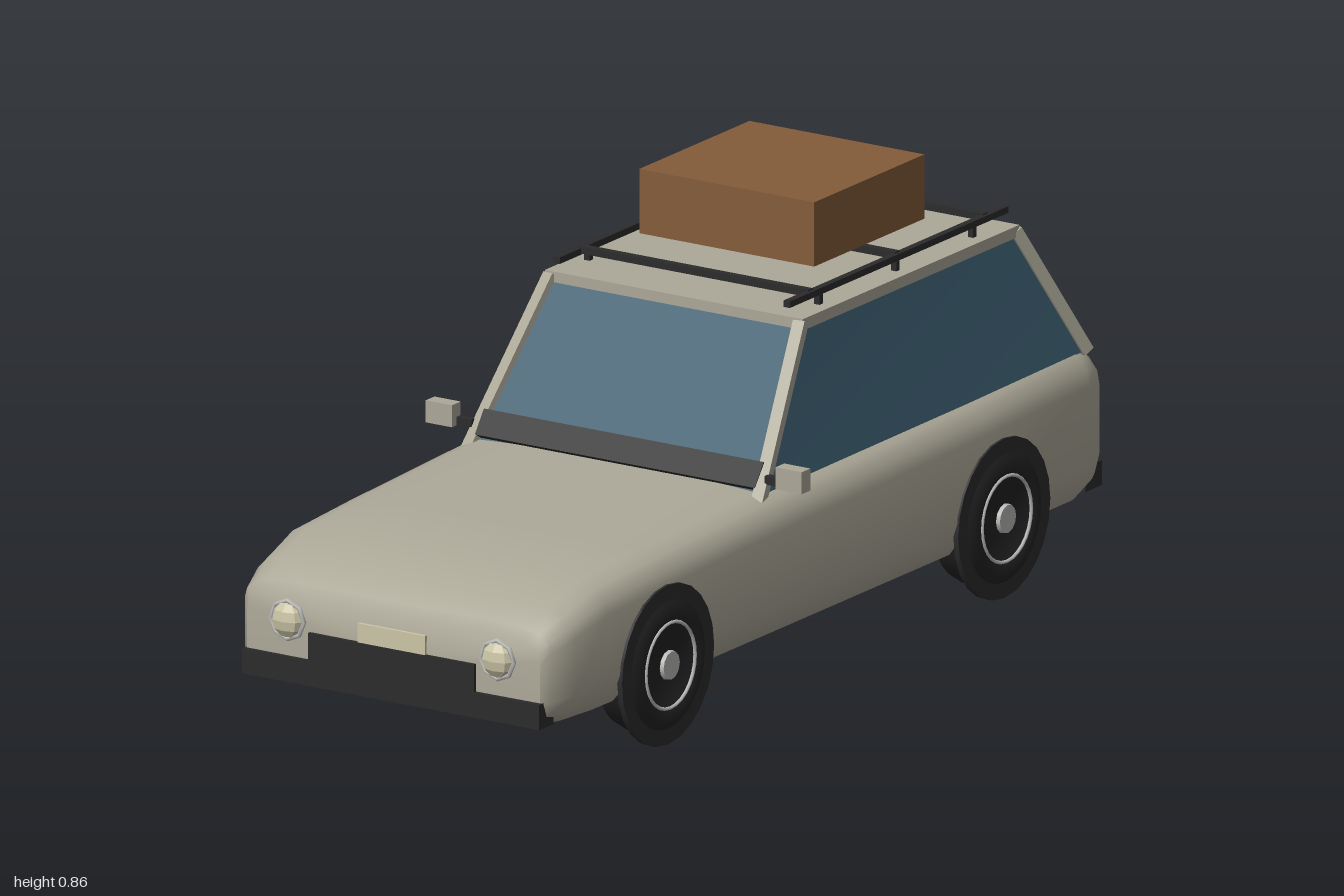
import * as THREE from 'three';
import { toCreasedNormals } from 'three/addons/utils/BufferGeometryUtils.js';

const mat = (name, color) => Object.assign(new THREE.MeshStandardMaterial({ color }), { name });
const V = (x, y, z) => new THREE.Vector3(x, y, z);

// Indexed geometry from Vector3 points and triangle indices
function fromPoints(points, index) {
  const g = new THREE.BufferGeometry().setFromPoints(points);
  g.setIndex(index);
  g.computeVertexNormals();
  return g;
}

// Body shell: a rounded section lofted from nose to tail
function bodyGeometry() {
  // z, half width, bottom y, top y
  const stations = [
    [0.975, 0.335, 0.125, 0.29], [0.96, 0.35, 0.12, 0.312], [0.9, 0.365, 0.115, 0.34],
    [0.8, 0.373, 0.113, 0.372], [0.6, 0.375, 0.112, 0.382], [0.2, 0.375, 0.112, 0.397],
    [-0.5, 0.375, 0.112, 0.412], [-0.86, 0.375, 0.114, 0.422], [-0.9, 0.366, 0.12, 0.412],
    [-0.93, 0.352, 0.125, 0.397], [-0.95, 0.335, 0.13, 0.375],
  ];
  // half section as fractions of half width and height
  const half = [[0.9, 0], [0.97, 0.1], [1, 0.25], [1, 0.75], [0.985, 0.85], [0.93, 0.94], [0.84, 0.985], [0.6, 1]];
  const ring = [...half, ...half.map(([x, y]) => [-x, y]).reverse()];
  const n = ring.length, pts = [], idx = [];
  for (const [z, w, b, t] of stations) for (const [x, y] of ring) pts.push(V(x * w, b + y * (t - b), z));
  for (let i = 0; i < stations.length - 1; i++) {
    for (let j = 0; j < n; j++) {
      const k = (j + 1) % n;
      const a = i * n + j, b = i * n + k, c = b + n, d = a + n;
      idx.push(a, d, c, a, c, b);
    }
  }
  // end caps
  const last = (stations.length - 1) * n, front = pts.length;
  pts.push(V(0, 0.2, 0.978), V(0, 0.25, -0.951));
  for (let j = 0; j < n; j++) {
    const k = (j + 1) % n;
    idx.push(front, j, k, front + 1, last + k, last + j);
  }
  return toCreasedNormals(fromPoints(pts, idx), 0.75);
}

export function createModel() {
  const paint = mat('body paint', 0xaca898);
  const glass = mat('window glass', 0x3b5d6f);
  const black = mat('black trim', 0x2b2b2c);
  const rubber = mat('tyre rubber', 0x222224);
  const metal = mat('bright metal', 0xb9b9b6);
  const cream = mat('cream lens and plate', 0xcbc5a6);
  const red = mat('tail light red', 0xa62f28);
  const leather = mat('luggage brown', 0x835c3a);

  const model = new THREE.Group();
  model.name = 'estateCar';
  const add = (name, geo, material, x = 0, y = 0, z = 0, parent = model) => {
    const m = new THREE.Mesh(geo, material);
    m.name = name;
    m.position.set(x, y, z);
    parent.add(m);
    return m;
  };
  // Box given by its lower and upper limits
  const box = (name, material, x0, x1, y0, y1, z0, z1) =>
    add(name, new THREE.BoxGeometry(x1 - x0, y1 - y0, z1 - z0), material, (x0 + x1) / 2, (y0 + y1) / 2, (z0 + z1) / 2);
  // Same box on both sides
  const pair = (name, material, x0, x1, ...rest) => {
    box(name + 'Left', material, x0, x1, ...rest);
    box(name + 'Right', material, -x1, -x0, ...rest);
  };
  // Square bar between two points
  const bar = (name, material, a, b, w) => {
    const m = add(name, new THREE.BoxGeometry(w, w, a.distanceTo(b)), material);
    m.position.copy(a).add(b).multiplyScalar(0.5);
    m.lookAt(b);
  };

  add('body', bodyGeometry(), paint);

  // Glasshouse: four sloping panes
  const corner = {
    fb: s => V(s * 0.332, 0.365, 0.222), ft: s => V(s * 0.285, 0.675, 0),
    rt: s => V(s * 0.285, 0.675, -0.735), rb: s => V(s * 0.345, 0.405, -0.893),
  };
  const { fb, ft, rt, rb } = corner;
  const panes = {
    windscreen: [fb(-1), fb(1), ft(1), ft(-1)], rearWindow: [rb(1), rb(-1), rt(-1), rt(1)],
    sideWindowLeft: [fb(1), rb(1), rt(1), ft(1)], sideWindowRight: [rb(-1), fb(-1), ft(-1), rt(-1)],
  };
  for (const [name, p] of Object.entries(panes)) add(name, fromPoints(p, [0, 1, 2, 0, 2, 3]), glass);

  // Roof and pillars
  box('roof', paint, -0.295, 0.295, 0.662, 0.685, -0.74, 0.008);
  for (const s of [1, -1]) {
    bar('frontPillar', paint, fb(s), ft(s), 0.024);
    bar('rearPillar', paint, rb(s), rt(s), 0.024);
  }
  // Dark strip below the windscreen
  add('cowl', new THREE.BoxGeometry(0.64, 0.054, 0.022), black, 0, 0.42, 0.187).rotation.x = -0.62;

  // Roof rack and luggage
  pair('rackRail', black, 0.256, 0.27, 0.705, 0.718, -0.74, 0.015);
  for (const z of [-0.067, -0.367, -0.67]) box('rackCrossbar', black, -0.263, 0.263, 0.707, 0.721, z - 0.008, z + 0.008);
  for (const z of [-0.095, -0.36, -0.625]) pair('rackPost', black, 0.257, 0.269, 0.683, 0.708, z - 0.006, z + 0.006);
  box('luggage', leather, -0.2, 0.2, 0.728, 0.856, -0.555, -0.175);

  // Wheels: tyre, dark outer disc, bright rim ring and hub
  const tyre = [[0.001, -0.047], [0.11, -0.047], [0.13, -0.038], [0.136, -0.02], [0.136, 0.02],
    [0.13, 0.036], [0.115, 0.044], [0.09, 0.044], [0.082, 0.038], [0.001, 0.038]].map(p => new THREE.Vector2(...p));
  const tyreGeo = toCreasedNormals(new THREE.LatheGeometry(tyre, 28), 0.7);
  for (const [end, z] of [['front', 0.6], ['rear', -0.56]]) {
    for (const s of [1, -1]) {
      const wheel = new THREE.Group();
      wheel.name = end + 'Wheel' + (s > 0 ? 'Left' : 'Right');
      wheel.position.set(s * 0.342, 0.16, z);
      wheel.rotation.z = -s * Math.PI / 2;
      model.add(wheel);
      add('tyre', tyreGeo, rubber, 0, 0, 0, wheel);
      add('outerDisc', new THREE.CylinderGeometry(0.159, 0.159, 0.011, 24), black, 0, 0.032, 0, wheel);
      add('rimRing', new THREE.TorusGeometry(0.085, 0.0035, 6, 28), metal, 0, 0.043, 0, wheel).rotation.x = Math.PI / 2;
      add('hub', new THREE.CylinderGeometry(0.028, 0.03, 0.01, 12), metal, 0, 0.041, 0, wheel);
    }
  }

  // Bumpers and number plates
  box('frontBumper', black, -0.34, 0.34, 0.12, 0.17, 0.935, 0.985);
  box('grillePanel', black, -0.19, 0.19, 0.165, 0.225, 0.965, 0.984);
  box('frontPlate', cream, -0.077, 0.077, 0.225, 0.263, 0.975, 0.983);
  box('rearBumper', black, -0.34, 0.34, 0.12, 0.17, -0.957, -0.9);
  box('rearPlate', cream, -0.075, 0.075, 0.175, 0.25, -0.957, -0.95);
  pair('tailLight', red, 0.2, 0.325, 0.255, 0.293, -0.956, -0.948);

  // Headlights, exhausts and mirrors
  const lens = new THREE.SphereGeometry(0.037, 8, 6).toNonIndexed();
  lens.scale(1, 1, 0.65);
  lens.computeVertexNormals();
  for (const s of [1, -1]) {
    add('headlight', lens, cream, s * 0.24, 0.242, 0.975);
    add('headlightRing', new THREE.TorusGeometry(0.038, 0.005, 6, 8), metal, s * 0.24, 0.242, 0.979);
    add('exhaust', new THREE.CylinderGeometry(0.016, 0.016, 0.12, 12), metal, s * 0.205, 0.12, -0.94).rotation.x = Math.PI / 2;
  }
  pair('mirrorArm', black, 0.335, 0.382, 0.411, 0.428, 0.185, 0.2);
  pair('mirror', paint, 0.37, 0.43, 0.411, 0.455, 0.185, 0.215);

  return model;
}
